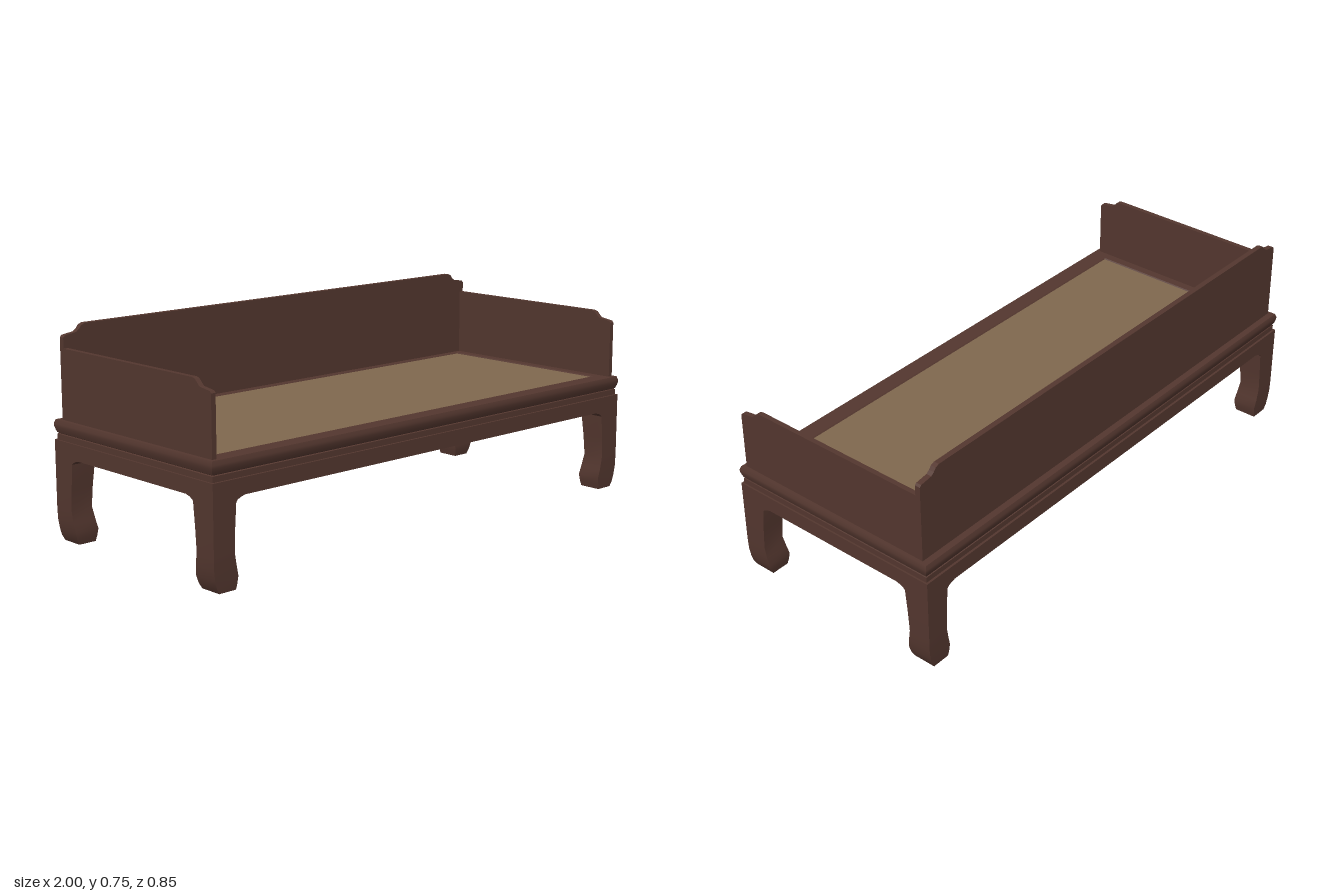
import * as THREE from 'three';
import { toCreasedNormals } from 'three/addons/utils/BufferGeometryUtils.js';

const wood = new THREE.MeshStandardMaterial({ name: 'dark wood', color: 0x54372f });
const cane = new THREE.MeshStandardMaterial({ name: 'woven cane', color: 0x80684e });

// Skin a stack of rectangular rings [y, xMin, xMax, zMin, zMax], listed upward on the outside.
// closed joins the last ring to the first (a mitred frame); otherwise both ends are capped.
function loftRects(rings, closed) {
  const pos = [];
  const index = [];
  for (const [y, x0, x1, z0, z1] of rings) {
    pos.push(x1, y, z1, x1, y, z0, x0, y, z0, x0, y, z1);
  }
  const n = rings.length;
  for (let i = 0; i < (closed ? n : n - 1); i++) {
    for (let j = 0; j < 4; j++) {
      const a = i * 4 + j;
      const b = i * 4 + (j + 1) % 4;
      const c = ((i + 1) % n) * 4 + (j + 1) % 4;
      const d = ((i + 1) % n) * 4 + j;
      index.push(a, b, c, a, c, d);
    }
  }
  if (!closed) {
    const t = (n - 1) * 4;
    index.push(0, 2, 1, 0, 3, 2, t, t + 1, t + 2, t, t + 2, t + 3);
  }
  const g = new THREE.BufferGeometry();
  g.setAttribute('position', new THREE.Float32BufferAttribute(pos, 3));
  g.setIndex(index);
  return toCreasedNormals(g, 0.6);
}

// Flat board cut to an outline, thickness centred on z = 0
function board(points, depth) {
  const shape = new THREE.Shape(points.map(([x, y]) => new THREE.Vector2(x, y)));
  return new THREE.ExtrudeGeometry(shape, { depth, bevelEnabled: false }).translate(0, 0, -depth / 2);
}

export function createModel() {
  const model = new THREE.Group();
  model.name = 'daybed';
  const add = (name, geometry, material = wood) => {
    const mesh = new THREE.Mesh(geometry, material);
    mesh.name = name;
    model.add(mesh);
    return mesh;
  };

  // Seat frame: [inset from the outer edge, y] swept round the rectangle
  const frameProfile = [
    [0.008, 0.355], [0.008, 0.380], [0.013, 0.382], [0.008, 0.385], [0.004, 0.395],
    [0.001, 0.406], [0, 0.416], [0.005, 0.430], [0.068, 0.430], [0.073, 0.424], [0.073, 0.355],
  ];
  add('seatFrame', loftRects(frameProfile.map(([d, y]) => [y, d - 1, 1 - d, d - 0.424, 0.424 - d]), true));
  add('seatMat', new THREE.BoxGeometry(1.86, 0.02, 0.71).translate(0, 0.416, 0), cane);

  // Legs with hoof feet: [y, inner x, outer x, inner z, outer z]
  const legProfile = [
    [0, 0.906, 0.974, 0.334, 0.418], [0.02, 0.902, 0.985, 0.330, 0.420],
    [0.045, 0.898, 0.992, 0.327, 0.421], [0.08, 0.906, 0.997, 0.332, 0.423],
    [0.125, 0.914, 0.998, 0.339, 0.424], [0.2, 0.911, 0.998, 0.334, 0.424],
    [0.285, 0.905, 0.998, 0.326, 0.424], [0.36, 0.905, 0.998, 0.326, 0.424],
  ];
  for (const sx of [-1, 1]) {
    for (const sz of [-1, 1]) {
      const rings = legProfile.map(([y, xi, xo, zi, zo]) => [
        y, Math.min(sx * xi, sx * xo), Math.max(sx * xi, sx * xo),
        Math.min(sz * zi, sz * zo), Math.max(sz * zi, sz * zo),
      ]);
      add(`${sz > 0 ? 'front' : 'back'}${sx > 0 ? 'Left' : 'Right'}Leg`, loftRects(rings, false));
    }
  }

  // Aprons with curved shoulders running into the legs
  const apron = (half) => {
    const right = [
      [half, 0.36], [half, 0.285], [half - 0.008, 0.293],
      [half - 0.02, 0.299], [half - 0.038, 0.304],
    ];
    return board([...right, ...right.map(([x, y]) => [-x, y]).reverse()].reverse(), 0.045);
  };
  for (const s of [-1, 1]) {
    add(s > 0 ? 'frontApron' : 'backApron', apron(0.906)).position.z = s * 0.4015;
    const side = add(s > 0 ? 'leftApron' : 'rightApron', apron(0.328));
    side.rotation.y = Math.PI / 2;
    side.position.x = s * 0.9755;
  }

  // Back panel with stepped upper corners
  const backHalf = [
    [0.983, 0.425], [0.983, 0.714], [0.976, 0.721], [0.93, 0.728],
    [0.918, 0.737], [0.909, 0.749], [0.895, 0.755],
  ];
  add('backPanel', board([...backHalf, ...backHalf.map(([x, y]) => [-x, y]).reverse()], 0.02))
    .position.z = -0.385;

  // Side panels, stepped at the front corner; outline x is turned to face the front
  const sideOutline = [
    [-0.376, 0.425], [0.405, 0.425], [0.405, 0.638], [0.399, 0.645], [0.35, 0.652],
    [0.338, 0.663], [0.328, 0.673], [0.315, 0.677], [-0.376, 0.677],
  ];
  for (const s of [-1, 1]) {
    const panel = add(s > 0 ? 'leftPanel' : 'rightPanel', board(sideOutline, 0.018));
    panel.rotation.y = -Math.PI / 2;
    panel.position.x = s * 0.974;
  }
  return model;
}
